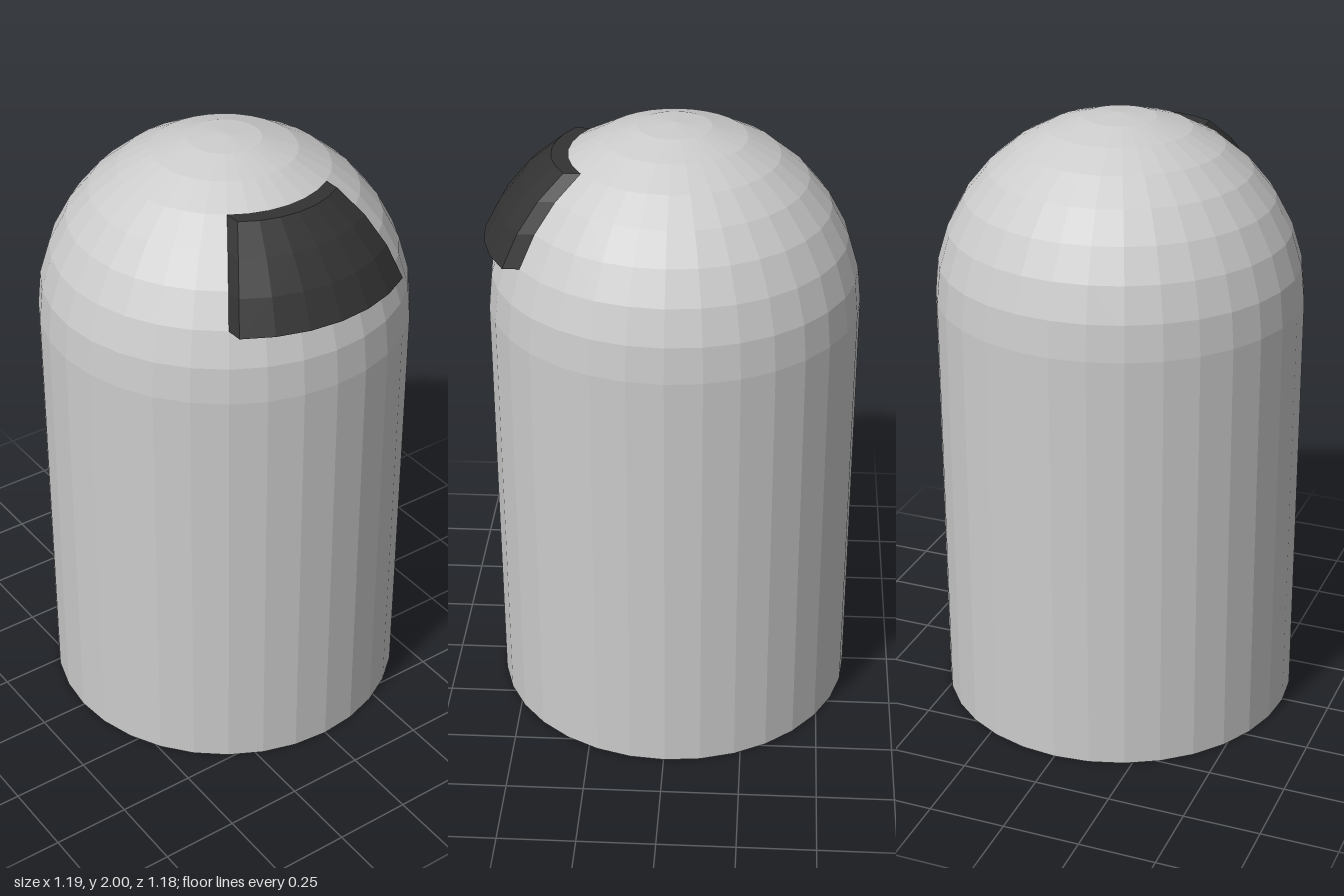
import * as THREE from 'three';

const R = 0.591, BASE = 1.409, SIDES = 32;
const STEP = (Math.PI * 2) / SIDES; // angle of one facet
const VISOR_DEPTH = 0.053;

// Patch of the dome (6 facets wide, 3 tall) thickened along +x
function visorGeometry() {
  const geo = new THREE.BoxGeometry(1, 1, 1, 1, 3, 6);
  const pos = geo.attributes.position;
  for (let i = 0; i < pos.count; i++) {
    const polar = (4.5 - pos.getY(i) * 3) * STEP;
    const around = pos.getZ(i) * 6 * STEP;
    pos.setXYZ(
      i,
      R * Math.sin(polar) * Math.cos(around) + (pos.getX(i) + 0.5) * VISOR_DEPTH,
      R * Math.cos(polar),
      R * Math.sin(polar) * Math.sin(around)
    );
  }
  geo.computeVertexNormals();
  return geo;
}

export function createModel() {
  const model = new THREE.Group();
  model.name = 'capsuleFigure';
  const grey = new THREE.MeshStandardMaterial({ color: 0xcccccc, flatShading: true });
  const dark = new THREE.MeshStandardMaterial({ color: 0x333333, flatShading: true });

  const add = (name, geometry, material, y) => {
    const mesh = new THREE.Mesh(geometry, material);
    mesh.name = name;
    mesh.position.set(-0.004, y, 0);
    model.add(mesh);
  };

  // Straight body standing on the ground
  add('body', new THREE.CylinderGeometry(R, R, BASE, SIDES), grey, BASE / 2);
  // Half-sphere head
  add('dome', new THREE.SphereGeometry(R, SIDES, 8, 0, Math.PI * 2, 0, Math.PI / 2), grey, BASE);
  // Dark visor on the left side of the head
  add('visor', visorGeometry(), dark, BASE);

  return model;
}
